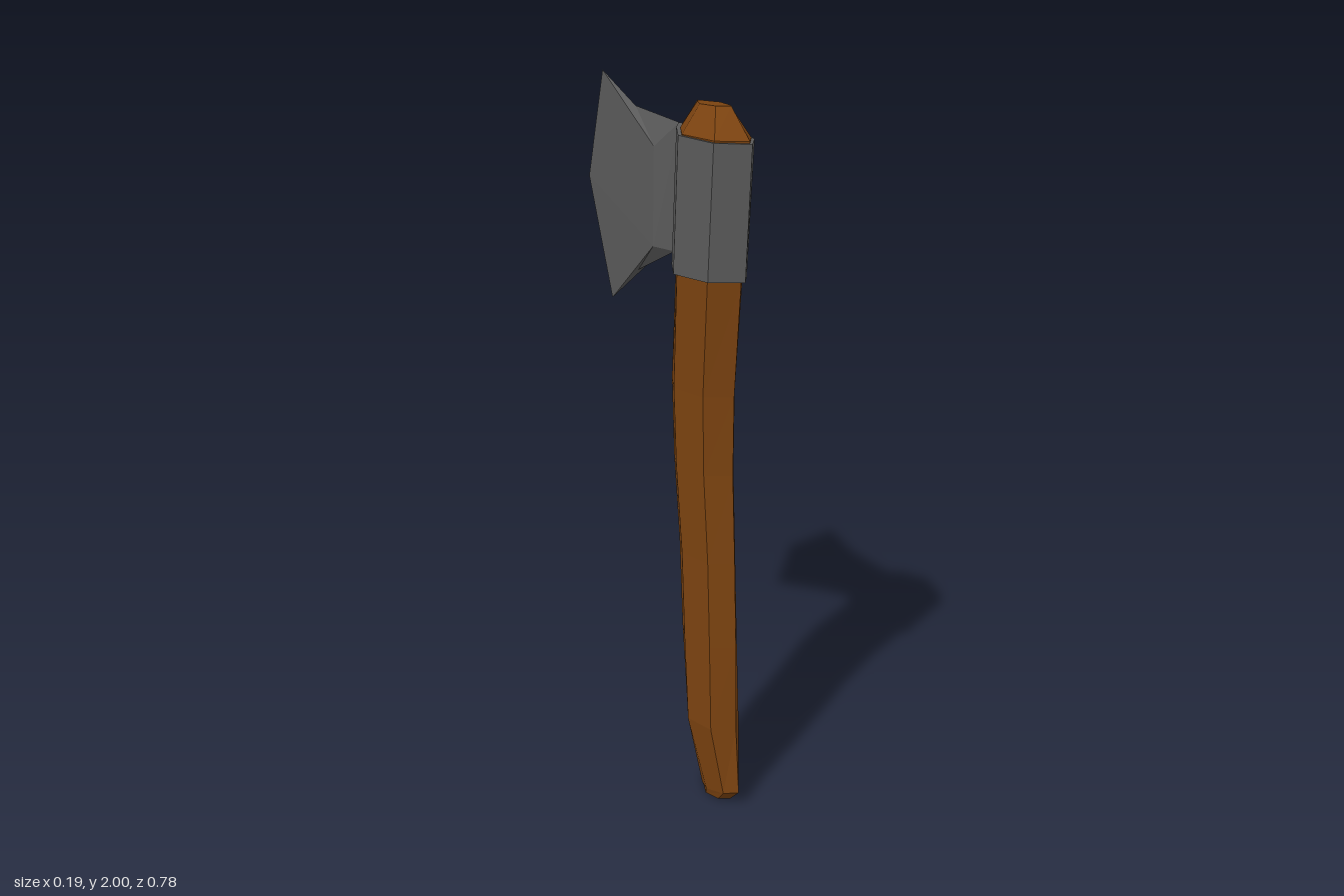
import * as THREE from 'three';

// Seven-sided irregular diamond: [side, depth], side -1..1, depth 0 (back) .. 1 (front)
const SECTION = [[1, 0.45], [0, 0], [-0.4, 0.15], [-1, 0.45], [-0.8, 0.84], [0, 1], [0.5, 0.84]];

function mesh(name, pos, color, side = THREE.FrontSide) {
  const geo = new THREE.BufferGeometry();
  geo.setAttribute('position', new THREE.Float32BufferAttribute(pos, 3));
  geo.computeVertexNormals();
  const m = new THREE.Mesh(geo, new THREE.MeshStandardMaterial({ color, flatShading: true, side }));
  m.name = name;
  return m;
}

// Each ring: [xLeft, xRight, zBack, zFront, yBack, yFront], listed bottom to top
function loft(name, rings, color) {
  const pts = rings.map(([x0, x1, z0, z1, y0, y1]) => SECTION.map(([u, v]) => [
    0.005 + (u < 0 ? -u * (x0 - 0.005) : u * (x1 - 0.005)),
    y0 + (y1 - y0) * v,
    z0 + (z1 - z0) * v,
  ]));
  const pos = [], n = SECTION.length, last = pts.length - 1;
  const tri = (a, b, c) => pos.push(...a, ...b, ...c);
  for (let i = 0; i < last; i++) {
    for (let j = 0; j < n; j++) {
      const k = (j + 1) % n;
      tri(pts[i][j], pts[i][k], pts[i + 1][k]);
      tri(pts[i][j], pts[i + 1][k], pts[i + 1][j]);
    }
  }
  // End caps
  for (let j = 1; j < n - 1; j++) {
    tri(pts[0][0], pts[0][j + 1], pts[0][j]);
    tri(pts[last][0], pts[last][j], pts[last][j + 1]);
  }
  return mesh(name, pos, color);
}

// Axe blade: thin outline on the centre plane, swollen by a ridge on each cheek
function blade(color) {
  const cx = 0.007;
  const outline = [[1.9, 0.07], [1.92, -0.14], [2.0, -0.31], [1.695, -0.39],
    [1.36, -0.27], [1.47, -0.13], [1.555, 0.05]].map(([y, z]) => [cx, y, z]);
  const pos = [];
  for (const s of [1, -1]) {
    const top = [cx + s * 0.027, 1.83, -0.01], low = [cx + s * 0.027, 1.56, -0.015];
    const [a, b, c, d, e, f, g] = outline;
    const faces = [[top, a, b], [top, b, c], [top, c, d], [top, d, low],
      [low, d, e], [low, e, f], [low, f, g], [low, g, a], [low, a, top]];
    for (const [p, q, r] of faces) pos.push(...p, ...(s > 0 ? r : q), ...(s > 0 ? q : r));
  }
  return mesh('blade', pos, color, THREE.DoubleSide);
}

export function createModel() {
  const wood = 0x7a4210, steel = 0x5a5a5a;
  const axe = new THREE.Group();
  axe.name = 'axe';

  // Gently curved handle, pinched at the foot and bevelled at the top
  axe.add(loft('handle', [
    [-0.03, 0.022, 0.215, 0.345, 0.005, 0.015],
    [-0.035, 0.027, 0.2, 0.385, 0.01, 0.055],
    [-0.07, 0.077, 0.135, 0.367, 0.25, 0.25],
    [-0.07, 0.07, 0.105, 0.36, 0.5, 0.5],
    [-0.07, 0.068, 0.088, 0.348, 0.75, 0.75],
    [-0.075, 0.072, 0.06, 0.333, 1.0, 1.0],
    [-0.08, 0.074, 0.05, 0.333, 1.22, 1.22],
    [-0.086, 0.08, 0.07, 0.355, 1.53, 1.53],
    [-0.087, 0.082, 0.088, 0.382, 1.9, 1.89],
    [-0.034, 0.028, 0.155, 0.302, 1.967, 1.967],
  ], wood));

  // Metal collar around the handle
  axe.add(loft('collar', [
    [-0.095, 0.09, 0.05, 0.373, 1.535, 1.535],
    [-0.095, 0.094, 0.07, 0.392, 1.9, 1.885],
  ], steel));

  axe.add(blade(steel));
  return axe;
}
